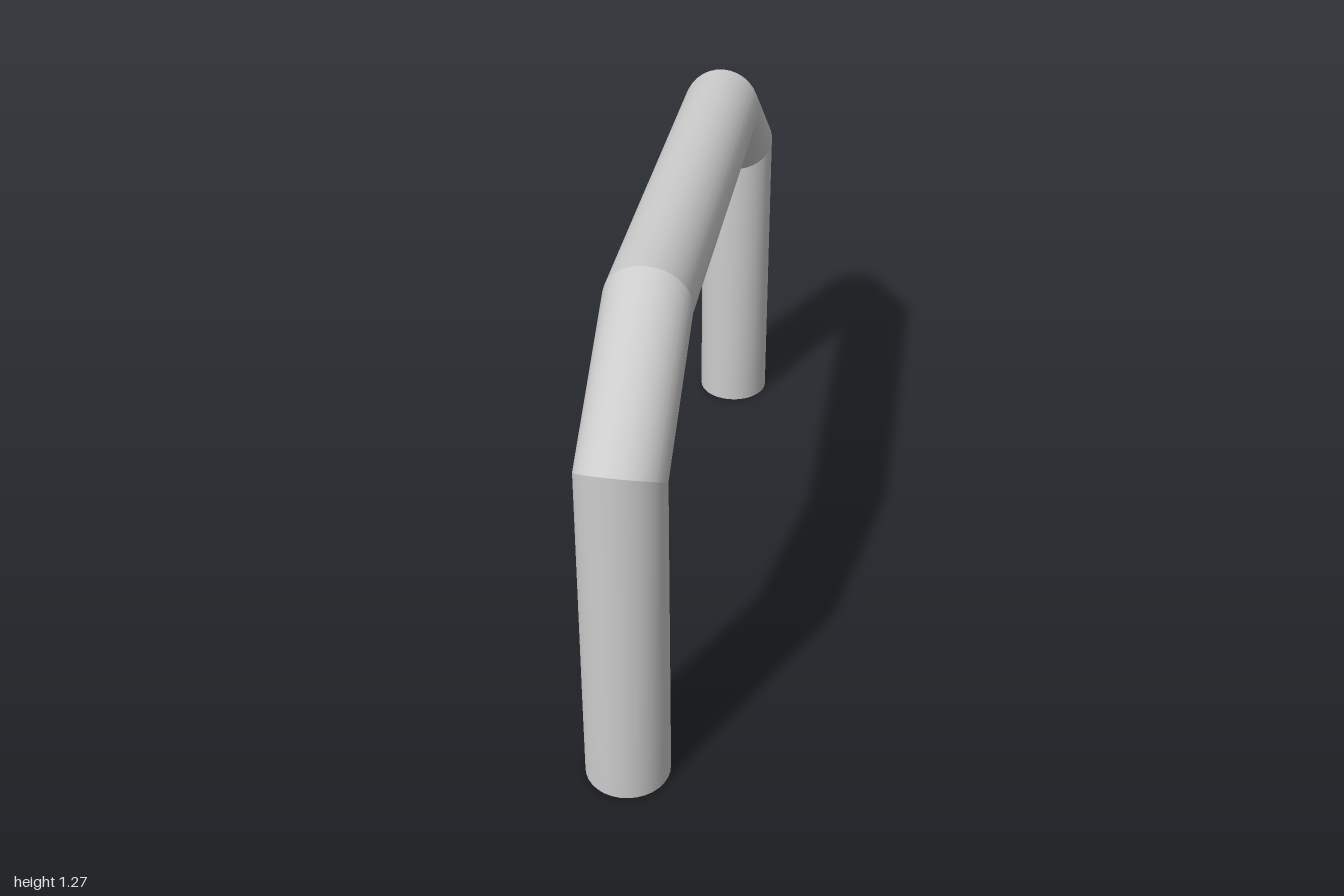
import * as THREE from 'three';
import { toCreasedNormals } from 'three/addons/utils/BufferGeometryUtils.js';

const RADIUS = 0.108;
const SIDES = 32;
const material = new THREE.MeshStandardMaterial({ color: 0xcccccc });

// Ring across the tube, given by its outer and inner points in the (z, y) plane
const ring = (oz, oy, iz, iy) => ({ oz, oy, iz, iy });
const mirror = (r) => ring(-r.oz, r.oy, -r.iz, r.iy);

// Tube through a list of mitred rings, smooth within itself
function tube(name, rings) {
  const steps = rings.length - 1;
  const geometry = new THREE.CylinderGeometry(1, 1, 1, SIDES, steps, true);
  const p = geometry.attributes.position;
  for (let i = 0; i < p.count; i++) {
    const r = rings[Math.round((p.getY(i) + 0.5) * steps)];
    const t = (p.getZ(i) + 1) / 2;
    p.setXYZ(
      i,
      p.getX(i) * RADIUS,
      THREE.MathUtils.lerp(r.iy, r.oy, t),
      THREE.MathUtils.lerp(r.iz, r.oz, t)
    );
  }
  const mesh = new THREE.Mesh(toCreasedNormals(geometry, 0.6), material);
  mesh.name = name;
  return mesh;
}

// Flat disc closing the bottom of a leg
function foot(name, z) {
  const mesh = new THREE.Mesh(new THREE.CircleGeometry(RADIUS, SIDES), material);
  mesh.rotation.x = Math.PI / 2;
  mesh.position.z = z;
  mesh.name = name;
  return mesh;
}

export function createModel() {
  const group = new THREE.Group();
  group.name = 'archedHandle';

  const base = ring(1, 0, 0.786, 0);
  const shin = ring(1, 0.2, 0.786, 0.2);
  const elbow = ring(0.98, 0.965, 0.805, 0.845);
  const shoulder = ring(0.575, 1.268, 0.535, 1.053);

  // Rings run from the front foot over the top to the back foot
  group.add(
    tube('frontLeg', [base, shin, elbow]),
    tube('frontSlope', [elbow, shoulder]),
    tube('topBar', [shoulder, mirror(shoulder)]),
    tube('backSlope', [mirror(shoulder), mirror(elbow)]),
    tube('backLeg', [mirror(elbow), mirror(shin), mirror(base)]),
    foot('frontFoot', 0.893),
    foot('backFoot', -0.893)
  );
  return group;
}
